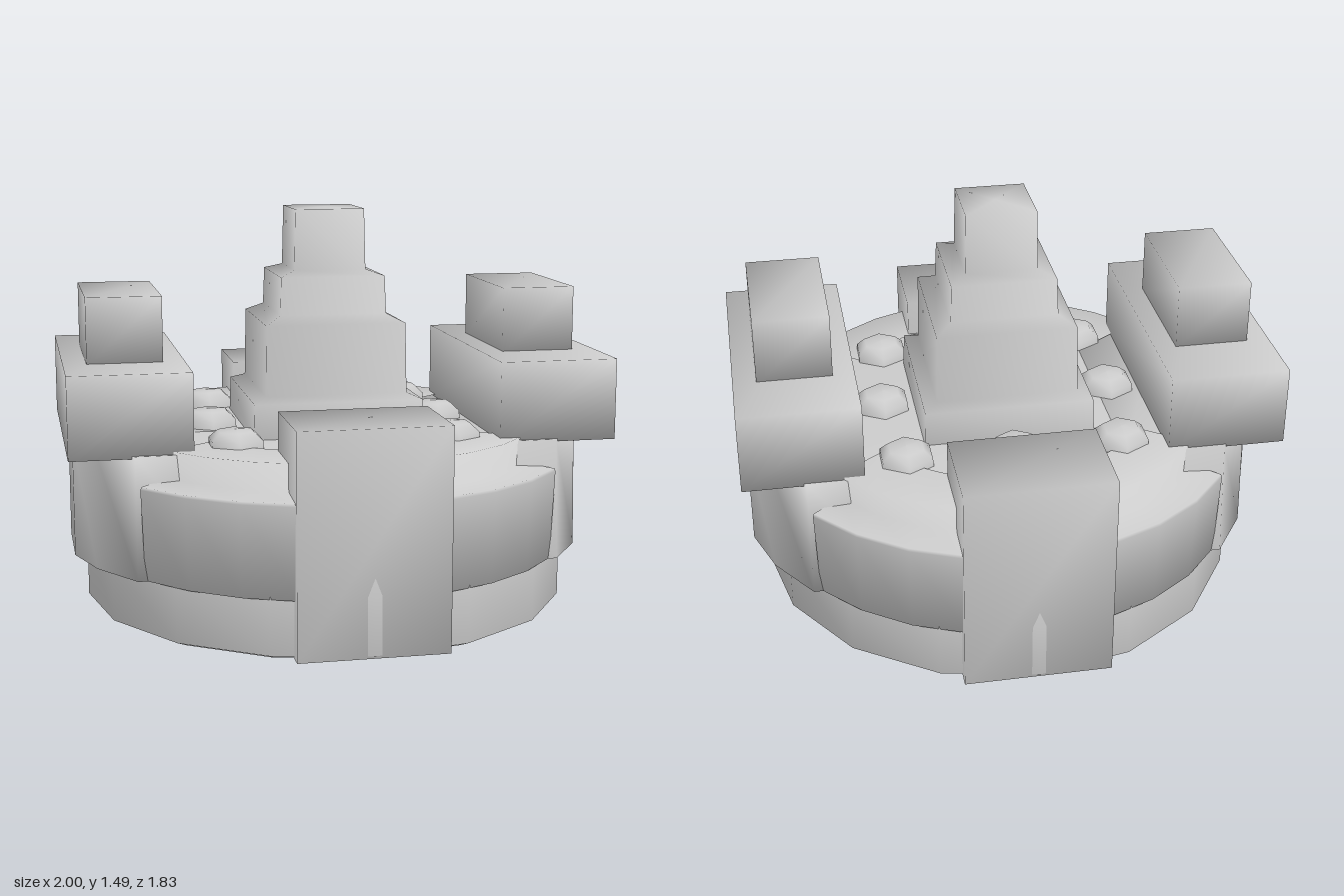
import * as THREE from 'three';
import { mergeVertices } from 'three/addons/utils/BufferGeometryUtils.js';

const stone = new THREE.MeshStandardMaterial({ color: 0xcccccc });
stone.name = 'pale grey stone';

// Weld shared corners so the low-poly shapes shade softly
function soften(geo) {
  geo.deleteAttribute('uv');
  geo.deleteAttribute('normal');
  const welded = mergeVertices(geo, 1e-4);
  welded.computeVertexNormals();
  return welded;
}

function add(group, name, geo) {
  const mesh = new THREE.Mesh(geo, stone);
  mesh.name = name;
  group.add(mesh);
  return mesh;
}

function block(x0, x1, y0, y1, z0, z1) {
  const geo = new THREE.BoxGeometry(x1 - x0, y1 - y0, z1 - z0);
  geo.translate((x0 + x1) / 2, (y0 + y1) / 2, (z0 + z1) / 2);
  return soften(geo);
}

const profile = (pts) => pts.map(([r, y]) => new THREE.Vector2(r, y));

// Solid between a bottom outline and the same outline narrowed in z at the top
function taperedPrism(outline, y0, y1, topZ) {
  const shape = new THREE.Shape(outline.map(([x, z]) => new THREE.Vector2(x, -z)));
  const geo = new THREE.ExtrudeGeometry(shape, { depth: y1 - y0, bevelEnabled: false });
  geo.rotateX(-Math.PI / 2);
  geo.translate(0, y0, 0);
  const p = geo.attributes.position;
  for (let i = 0; i < p.count; i++) {
    const t = (p.getY(i) - y0) / (y1 - y0);
    p.setZ(i, p.getZ(i) * (1 + (topZ - 1) * t));
  }
  return soften(geo);
}

export function createModel() {
  const model = new THREE.Group();
  model.name = 'fortress';

  // Round base with the deck on top
  add(model, 'baseDrum', new THREE.LatheGeometry(profile([
    [0, 0], [0.87, 0], [0.915, 0.02], [0.915, 0.23], [0.89, 0.55], [0.79, 0.56], [0.79, 0.66], [0, 0.66],
  ]), 16));

  // Curved corner bastions with a shelf and a raised inner step
  for (let q = 0; q < 4; q++) {
    const start = THREE.MathUtils.degToRad([16, 126, 196, 306][q]);
    add(model, 'cornerBastion', new THREE.LatheGeometry(profile([
      [0.7, 0.22], [0.92, 0.22], [0.935, 0.55], [0.93, 0.56], [0.81, 0.57], [0.81, 0.67], [0.6, 0.67],
    ]), 3, start, THREE.MathUtils.degToRad(38)));
  }

  // Front and back piers
  for (const s of [1, -1]) {
    add(model, s > 0 ? 'frontPier' : 'backPier',
      block(-0.27, 0.27, 0.01, 0.81, Math.min(s * 0.55, s * 0.91), Math.max(s * 0.55, s * 0.91)));
  }

  // Side buttresses, each with a long block and a smaller one on top
  const half = [[0.4, 0.55], [0.77, 0.55], [0.9, 0.36], [0.97, 0.16]];
  const outline = [...half, ...half.map(([x, z]) => [x, -z]).reverse()];
  for (const [side, turn] of [['left', 0], ['right', Math.PI]]) {
    const wing = new THREE.Group();
    wing.name = side + 'Wing';
    wing.rotation.y = turn;
    add(wing, 'buttress', taperedPrism(outline, 0.22, 0.66, 0.93));
    add(wing, 'longBlock', block(0.56, 1, 0.65, 0.95, -0.5, 0.5));
    add(wing, 'topBlock', block(0.64, 0.915, 0.94, 1.19, -0.25, 0.25));
    model.add(wing);
  }

  // Stepped square tower
  const k = Math.SQRT2;
  const tower = new THREE.LatheGeometry(profile([
    [0.32 * k, 0.64], [0.315 * k, 0.79], [0.265 * k, 0.81], [0.26 * k, 1.07], [0.2 * k, 1.1],
    [0.195 * k, 1.24], [0.135 * k, 1.26], [0.13 * k, 1.485], [0, 1.485],
  ]), 4, Math.PI / 4);
  add(model, 'tower', tower);

  // Low rounded studs around the tower
  const stud = new THREE.LatheGeometry(profile([
    [0.11, 0.64], [0.105, 0.69], [0.07, 0.72], [0, 0.725],
  ]), 6);
  for (const ix of [-1, 0, 1]) {
    for (const iz of [-1, 0, 1]) {
      if (!ix && !iz) continue;
      const mesh = add(model, 'deckStud', stud);
      mesh.position.set(ix * (iz ? 0.4 : 0.44), 0, iz * (ix ? 0.41 : 0.43));
    }
  }
  return model;
}
